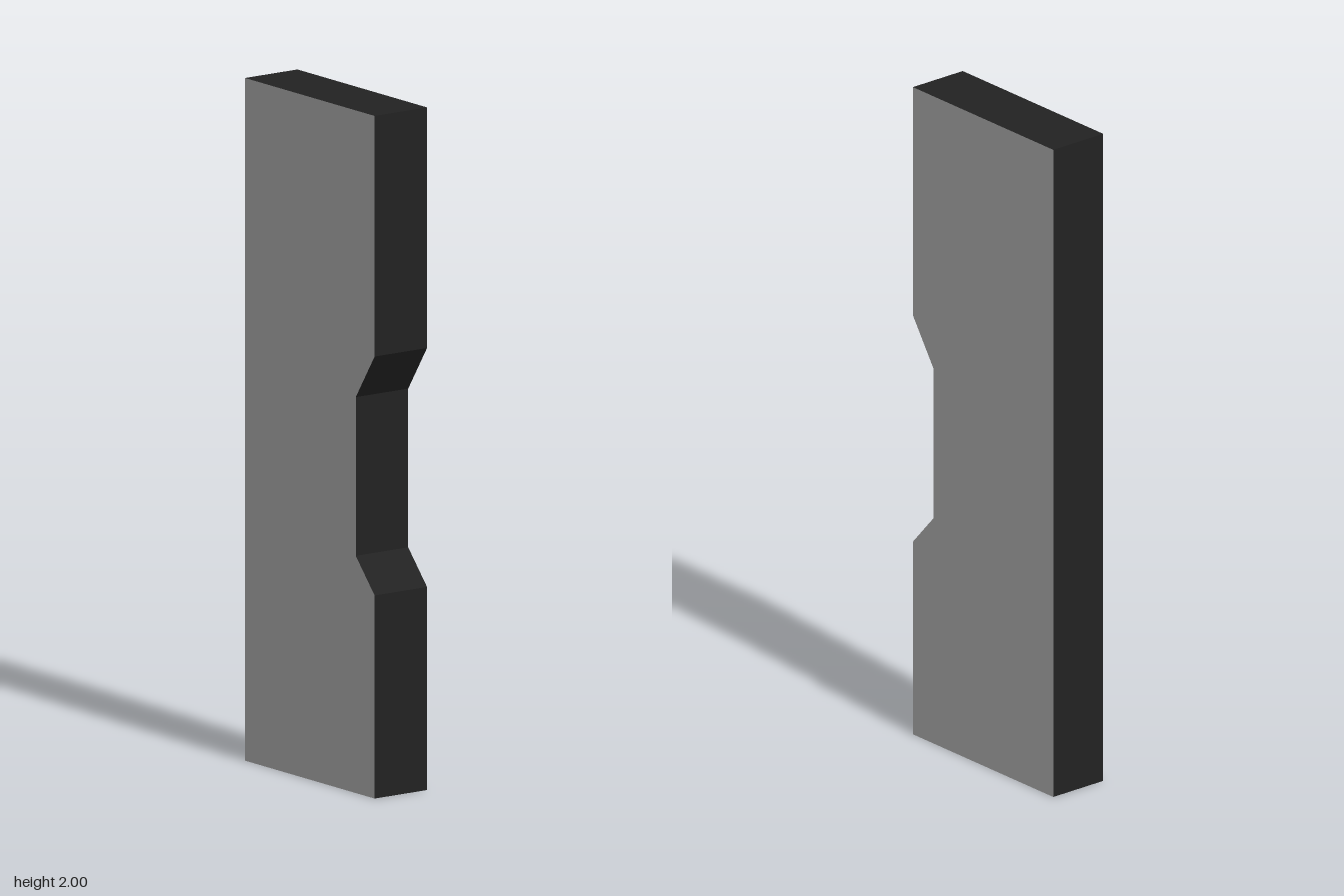
import * as THREE from 'three';

export function createModel() {
  const group = new THREE.Group();
  group.name = 'notchedPanel';

  // Panel outline with a trapezoid notch in its left edge
  const outline = new THREE.Shape([
    [-0.31, 0], [0.31, 0], [0.31, 0.595], [0.22, 0.695],
    [0.22, 1.16], [0.31, 1.295], [0.31, 2], [-0.31, 2],
  ].map(([x, y]) => new THREE.Vector2(x, y)));

  const depth = 0.187;
  const geometry = new THREE.ExtrudeGeometry(outline, { depth, bevelEnabled: false });
  geometry.translate(0, 0, -depth / 2);

  // Grey front and back faces, dark rim all round
  const faceMaterial = new THREE.MeshStandardMaterial({ color: 0xb0b0b0 });
  const rimMaterial = new THREE.MeshStandardMaterial({ color: 0x222222 });
  const panel = new THREE.Mesh(geometry, [faceMaterial, rimMaterial]);
  panel.name = 'panel';
  group.add(panel);

  return group;
}
